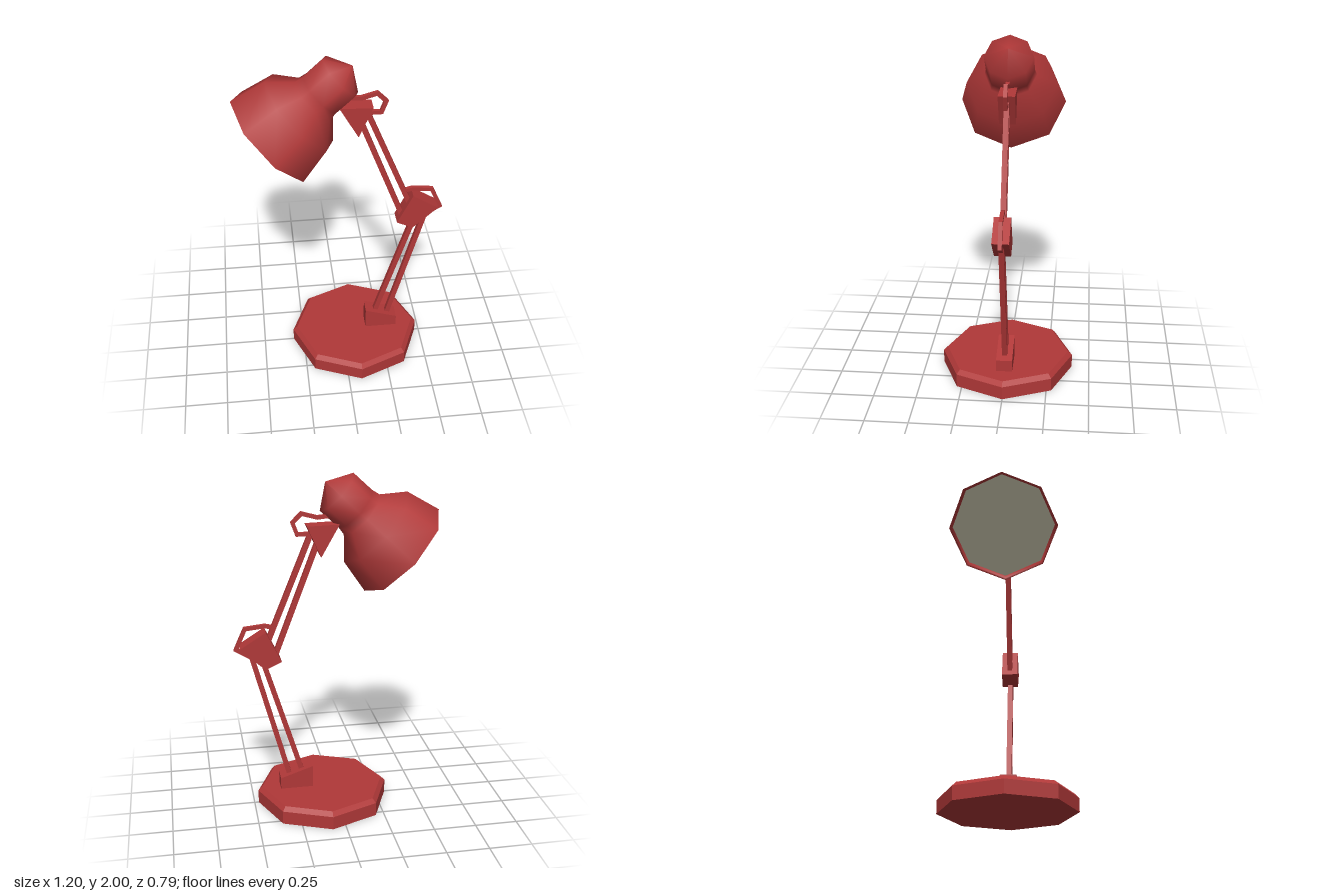
import * as THREE from 'three';

const red = new THREE.MeshStandardMaterial({ color: 0xb03838 });
red.name = 'red enamel';
const cream = new THREE.MeshStandardMaterial({ color: 0xe0dcc0 });
cream.name = 'cream diffuser';

function part(name, geometry, material = red) {
  const mesh = new THREE.Mesh(geometry, material);
  mesh.name = name;
  return mesh;
}

// Side outline in x/y, extruded evenly to both sides of z = 0
function plate(name, points, depth) {
  const shape = new THREE.Shape(points.map(([x, y]) => new THREE.Vector2(x, y)));
  const geometry = new THREE.ExtrudeGeometry(shape, { depth, bevelEnabled: false });
  geometry.translate(0, 0, -depth / 2);
  return part(name, geometry);
}

// Square-section rod following a polyline, with mitred corners
function rod(name, points, width) {
  const pts = points.map(([x, y]) => new THREE.Vector2(x, y));
  const normal = (a, b) => {
    const d = b.clone().sub(a).normalize();
    return new THREE.Vector2(-d.y, d.x);
  };
  const left = [], right = [];
  pts.forEach((p, i) => {
    const before = normal(pts[Math.max(i - 1, 0)], pts[Math.max(i, 1)]);
    const last = pts.length - 1;
    const after = normal(pts[Math.min(i, last - 1)], pts[Math.min(i + 1, last)]);
    const mitre = before.clone().add(after).normalize();
    mitre.multiplyScalar(width / 2 / mitre.dot(after));
    left.push([p.x + mitre.x, p.y + mitre.y]);
    right.unshift([p.x - mitre.x, p.y - mitre.y]);
  });
  return plate(name, [...left, ...right], width);
}

function lathe(points) {
  return new THREE.LatheGeometry(points.map(([r, y]) => new THREE.Vector2(r, y)), 8);
}

export function createModel() {
  const lamp = new THREE.Group();
  lamp.name = 'deskLamp';

  // Octagonal foot with a narrow chamfer
  const footGeometry = lathe([[0, 0], [0.395, 0], [0.395, 0.08], [0.37, 0.105], [0, 0.105]]).toNonIndexed();
  footGeometry.computeVertexNormals();
  const foot = part('foot', footGeometry);
  foot.position.x = 0.08;
  lamp.add(foot);

  // Joint blocks
  const depth = 0.095;
  lamp.add(
    plate('footBracket', [[0.145, 0.1], [0.34, 0.1], [0.34, 0.175], [0.145, 0.24]], depth),
    plate('elbowBlock', [[0.41, 1.115], [0.56, 1.02], [0.415, 0.885], [0.32, 0.93]], depth),
    plate('headBlock', [[-0.02, 1.725], [0.085, 1.54], [0.165, 1.72]], depth),
  );

  // Paired arms
  lamp.add(
    rod('lowerArm', [[0.2, 0.18], [0.425, 0.92]], 0.03),
    rod('lowerArm', [[0.28, 0.17], [0.5, 0.99]], 0.03),
    rod('upperArm', [[0.36, 0.94], [0.1, 1.62]], 0.03),
    rod('upperArm', [[0.4, 1.03], [0.13, 1.69]], 0.03),
  );

  // Cable loops around the joints
  lamp.add(
    rod('elbowCable', [[0.35, 1.125], [0.41, 1.14], [0.525, 1.128], [0.58, 1.005], [0.49, 0.95]], 0.022),
    rod('headCable', [[0.0, 1.77], [0.1, 1.76], [0.19, 1.785], [0.24, 1.735], [0.215, 1.668], [0.13, 1.668]], 0.022),
  );

  // Tilted head, turned around its own axis
  const head = new THREE.Group();
  head.name = 'lampHead';
  head.position.set(-0.388, 1.55, 0);
  head.rotation.z = -0.825;
  head.add(
    part('shade', lathe([[0.314, 0], [0.266, 0.21], [0.15, 0.32], [0.14, 0.37], [0.14, 0.515], [0, 0.602]])),
    part('shadeLip', lathe([[0.295, 0.035], [0.302, 0], [0.314, 0]])),
  );
  const diffuser = part('diffuser', new THREE.CircleGeometry(0.296, 8), cream);
  diffuser.rotation.x = Math.PI / 2;
  diffuser.position.y = 0.03;
  head.add(diffuser);
  lamp.add(head);

  return lamp;
}
